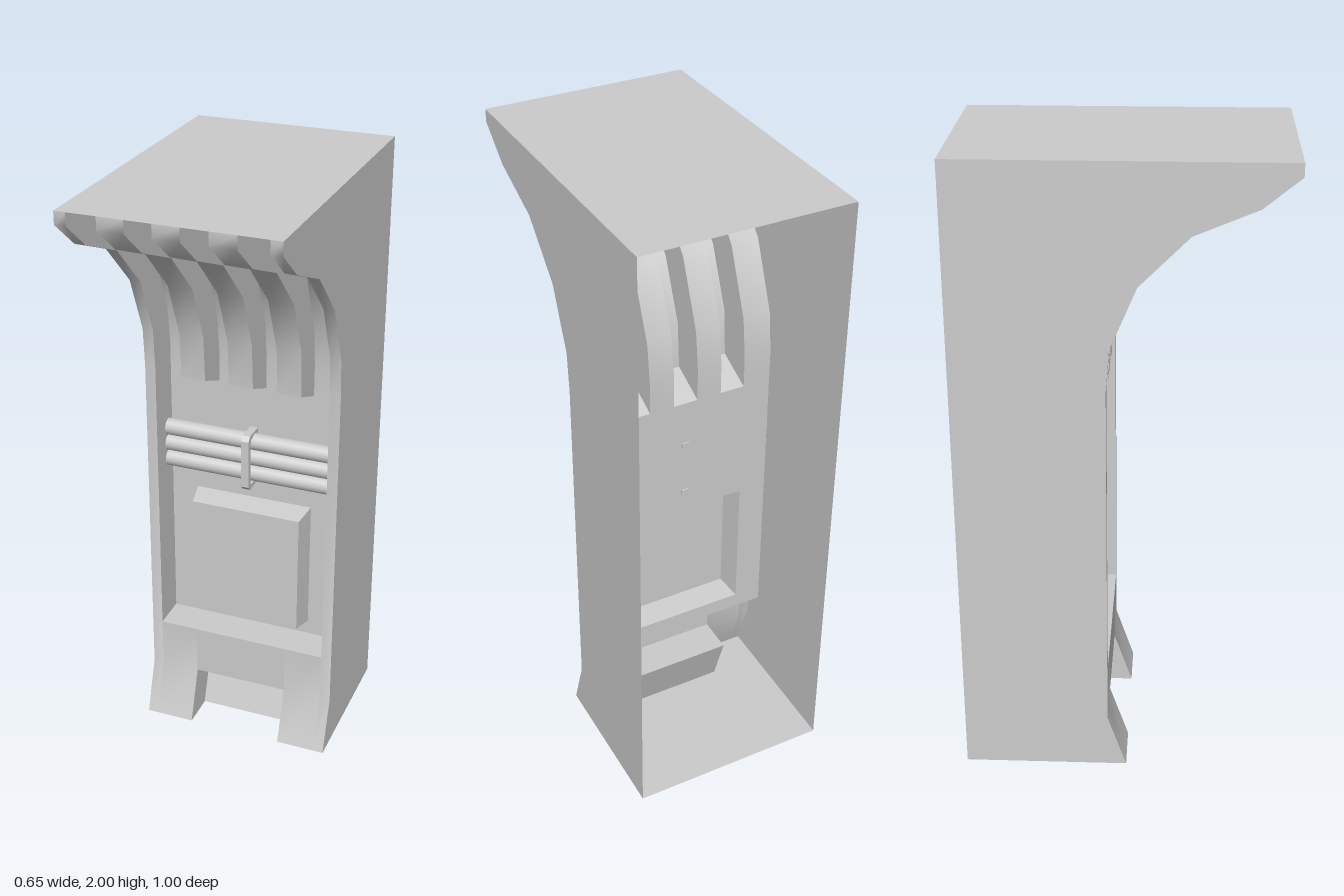
import * as THREE from 'three';
import { toCreasedNormals, mergeGeometries } from 'three/addons/utils/BufferGeometryUtils.js';

const W = 0.325, IN = 0.29, BACK = -0.5, FLOOR = -0.16, NOTCH = 0.16;
const RIBS = [-0.16, 0, 0.16], RIB_HALF = 0.04;

// Profiles as [z, y], running upwards
const curve = [[-0.03, 1.45], [0.05, 1.64], [0.2, 1.79], [0.39, 1.87], [0.5, 1.96], [0.5, 2]];
const outer = [[0.02, 0], [-0.04, 0.18], [-0.04, 1.32], ...curve];
const recessCurve = [[FLOOR, 1.25], [FLOOR, 1.35], [-0.145, 1.48], [-0.06, 1.69], [0.1, 1.86], [0.3, 1.94], [0.38, 2]];
const ribProfile = [[FLOOR, 1.25], [-0.04, 1.3], ...curve];
const notchProfile = [[-0.1, 0], [FLOOR, 0.18], [-0.04, 0.18]];

const material = new THREE.MeshStandardMaterial({ color: 0xcccccc, side: THREE.DoubleSide });

// Sheet sweeping a [z, y] profile from x0 to x1, facing the front
function strip(profile, x0, x1) {
  const pos = [], idx = [];
  profile.forEach(([z, y], i) => {
    pos.push(x0, y, z, x1, y, z);
    if (i) { const a = 2 * i - 2; idx.push(a, a + 1, a + 3, a, a + 3, a + 2); }
  });
  const g = new THREE.BufferGeometry();
  g.setAttribute('position', new THREE.Float32BufferAttribute(pos, 3));
  g.setIndex(idx);
  return toCreasedNormals(g, 1.0);
}

const shapeOf = (pts) => new THREE.Shape(pts.map(([a, b]) => new THREE.Vector2(a, b)));

function clean(g) {
  g = g.index ? g.toNonIndexed() : g;
  g.deleteAttribute('uv');
  g.computeVertexNormals();
  return g;
}

// Flat wall with a [z, y] outline at a given x, facing +x or -x
function wall(pts, x, facing) {
  const g = new THREE.ShapeGeometry(shapeOf(pts));
  if (facing > 0) g.setIndex(Array.from(g.index.array).reverse());
  g.rotateY(-Math.PI / 2).translate(x, 0, 0);
  return clean(g);
}

export function createModel() {
  const model = new THREE.Group();
  const add = (name, ...geos) => {
    const mesh = new THREE.Mesh(geos.length > 1 ? mergeGeometries(geos) : geos[0], material);
    mesh.name = name;
    model.add(mesh);
  };

  // Side panels, rims and recess side walls
  const side = [...outer, [BACK, 2], [BACK, 0]];
  const recessSide = [[-0.04, 0.35], ...outer.slice(2), ...[...recessCurve].reverse(), [FLOOR, 0.35]];
  for (const s of [-1, 1]) {
    const label = s > 0 ? 'left' : 'right';
    add(label + 'SidePanel', wall(side, s * W, s));
    add(label + 'Rim', strip(outer, Math.min(s * IN, s * W), Math.max(s * IN, s * W)));
    add(label + 'RecessWall', wall(recessSide, s * IN, -s));
  }

  // Top slab
  add('top', clean(new THREE.PlaneGeometry(2 * W, 1).rotateX(-Math.PI / 2).translate(0, 2, 0)));

  // Base plate with the foot notch cut out
  add('base', clean(new THREE.ShapeGeometry(shapeOf([
    [-W, BACK], [W, BACK], [W, 0.02], [NOTCH, 0.02], [NOTCH, -0.1], [-NOTCH, -0.1], [-NOTCH, 0.02], [-W, 0.02],
  ])).rotateX(Math.PI / 2)));

  // Kick front around the notch, with the sill of the recess
  const sill = [[-0.04, 0.18], [-0.04, 0.35], [FLOOR, 0.35]];
  add('kickFront',
    strip([[0.02, 0], ...sill], -IN, -NOTCH),
    strip(sill, -NOTCH, NOTCH),
    strip([[0.02, 0], ...sill], NOTCH, IN));

  // Foot notch
  const notchSide = [[0.02, 0], [-0.04, 0.18], [FLOOR, 0.18], [-0.1, 0]];
  add('footNotch', strip(notchProfile, -NOTCH, NOTCH),
    wall(notchSide, -NOTCH, 1), wall(notchSide, NOTCH, -1));

  // Recess floor with the opening of the raised panel
  const P = { x: 0.2, y0: 0.4, y1: 0.845, inset: 0.014, z: -0.08 };
  const rect = (i) => [[-P.x + i, P.y0 + i], [P.x - i, P.y0 + i], [P.x - i, P.y1 - i], [-P.x + i, P.y1 - i]];
  const floor = shapeOf([[-IN, 0.35], [IN, 0.35], [IN, 1.25], [-IN, 1.25]]);
  floor.holes.push(shapeOf(rect(0)));
  add('recessFloor', clean(new THREE.ShapeGeometry(floor).translate(0, 0, FLOOR)));

  // Raised panel with bevelled sides, hollow behind
  const lo = rect(0).map(([x, y]) => [x, y, FLOOR]), hi = rect(P.inset).map(([x, y]) => [x, y, P.z]);
  const tri = [];
  for (let i = 0; i < 4; i++) {
    const j = (i + 1) % 4;
    tri.push(...lo[i], ...lo[j], ...hi[j], ...lo[i], ...hi[j], ...hi[i]);
  }
  tri.push(...hi[0], ...hi[1], ...hi[2], ...hi[0], ...hi[2], ...hi[3]);
  const panel = new THREE.BufferGeometry();
  panel.setAttribute('position', new THREE.Float32BufferAttribute(tri, 3));
  add('raisedPanel', clean(panel));

  // Curved grooves between the ribs
  const edges = [-IN, ...RIBS.flatMap((x) => [x - RIB_HALF, x + RIB_HALF]), IN];
  for (let i = 0; i < edges.length; i += 2) add('groove', strip(recessCurve, edges[i], edges[i + 1]));

  // Curved ribs, hollow behind
  const ribSide = [...ribProfile, ...recessCurve.slice(1).reverse()];
  for (const x of RIBS) {
    add('rib', strip(ribProfile, x - RIB_HALF, x + RIB_HALF),
      wall(ribSide, x - RIB_HALF, -1), wall(ribSide, x + RIB_HALF, 1));
  }

  // Three horizontal pipes
  for (const y of [0.955, 1.012, 1.069]) {
    add('pipe', new THREE.CylinderGeometry(0.028, 0.028, 2 * IN + 0.006, 16).rotateZ(Math.PI / 2).translate(0, y, -0.13));
  }

  // Clamp holding the pipes
  const clamp = shapeOf([[-0.165, 0.91], [-0.09, 0.91], [-0.075, 0.925], [-0.075, 1.09], [-0.09, 1.105], [-0.165, 1.105],
    [-0.165, 1.09], [-0.1, 1.09], [-0.095, 1.085], [-0.095, 0.93], [-0.1, 0.925], [-0.165, 0.925]]);
  add('clamp', new THREE.ExtrudeGeometry(clamp, { depth: 0.026, bevelEnabled: false })
    .rotateY(-Math.PI / 2).translate(0.013, 0, 0));

  return model;
}
